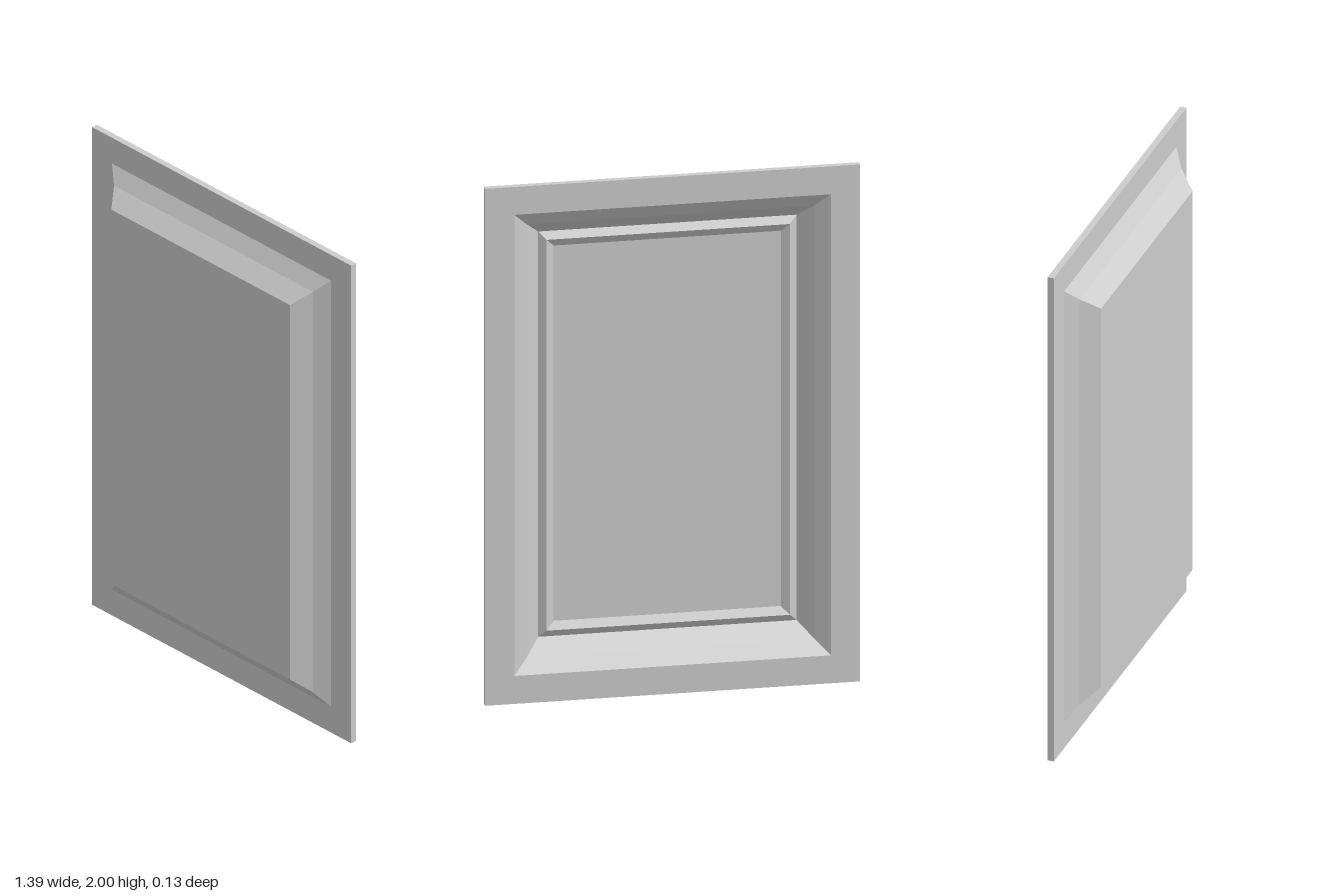
import * as THREE from 'three';

const HALF_W = 0.695, HALF_H = 1;
const material = new THREE.MeshStandardMaterial({ color: 0xcccccc, flatShading: true });

// Corners of a rectangle set in from the outer edge, counter-clockwise from the front
function corners([inset, z]) {
  const w = HALF_W - inset, h = HALF_H - inset;
  return [[-w, 1 - h, z], [w, 1 - h, z], [w, 1 + h, z], [-w, 1 + h, z]];
}

// Mitred rectangular ring swept along a profile of [inset, z] points
function mitredRing(name, profile) {
  const positions = [];
  for (let i = 0; i < profile.length - 1; i++) {
    const a = corners(profile[i]), b = corners(profile[i + 1]);
    for (let k = 0; k < 4; k++) {
      const n = (k + 1) % 4;
      positions.push(...a[k], ...a[n], ...b[n], ...a[k], ...b[n], ...b[k]);
    }
  }
  const geometry = new THREE.BufferGeometry();
  geometry.setAttribute('position', new THREE.Float32BufferAttribute(positions, 3));
  geometry.computeVertexNormals();
  const mesh = new THREE.Mesh(geometry, material);
  mesh.name = name;
  return mesh;
}

// Flat field closing a ring
function flatField(name, inset, z, facesBack) {
  const geometry = new THREE.PlaneGeometry(2 * (HALF_W - inset), 2 * (HALF_H - inset));
  if (facesBack) geometry.rotateY(Math.PI);
  const mesh = new THREE.Mesh(geometry, material);
  mesh.name = name;
  mesh.position.set(0, 1, z);
  return mesh;
}

export function createModel() {
  const group = new THREE.Group();
  group.name = 'raisedPanel';

  const back = -0.065, thickness = 0.025;
  // Two-step slope, shared by the front and the hollow back
  const slope = [[0.108, back + thickness], [0.162, 0.0], [0.216, 0.063]];
  const hollow = slope.map(([inset, z]) => [inset, z - thickness]).reverse();
  const floorZ = hollow[0][1];

  group.add(
    // Flat outer border: back face, rim and front face
    mitredRing('outerFrame', [[0.108, back], [0, back], [0, back + thickness], [0.108, back + thickness]]),
    // Raised centre on the front
    mitredRing('frontSlope', slope),
    flatField('frontPanel', 0.216, 0.063, false),
    // Hollow back with a small ridged moulding around its floor
    mitredRing('backSlope', hollow),
    mitredRing('backMoulding', [[0.274, floorZ], [0.244, floorZ - 0.018], [0.216, floorZ]]),
    flatField('backPanel', 0.274, floorZ, true)
  );
  return group;
}
